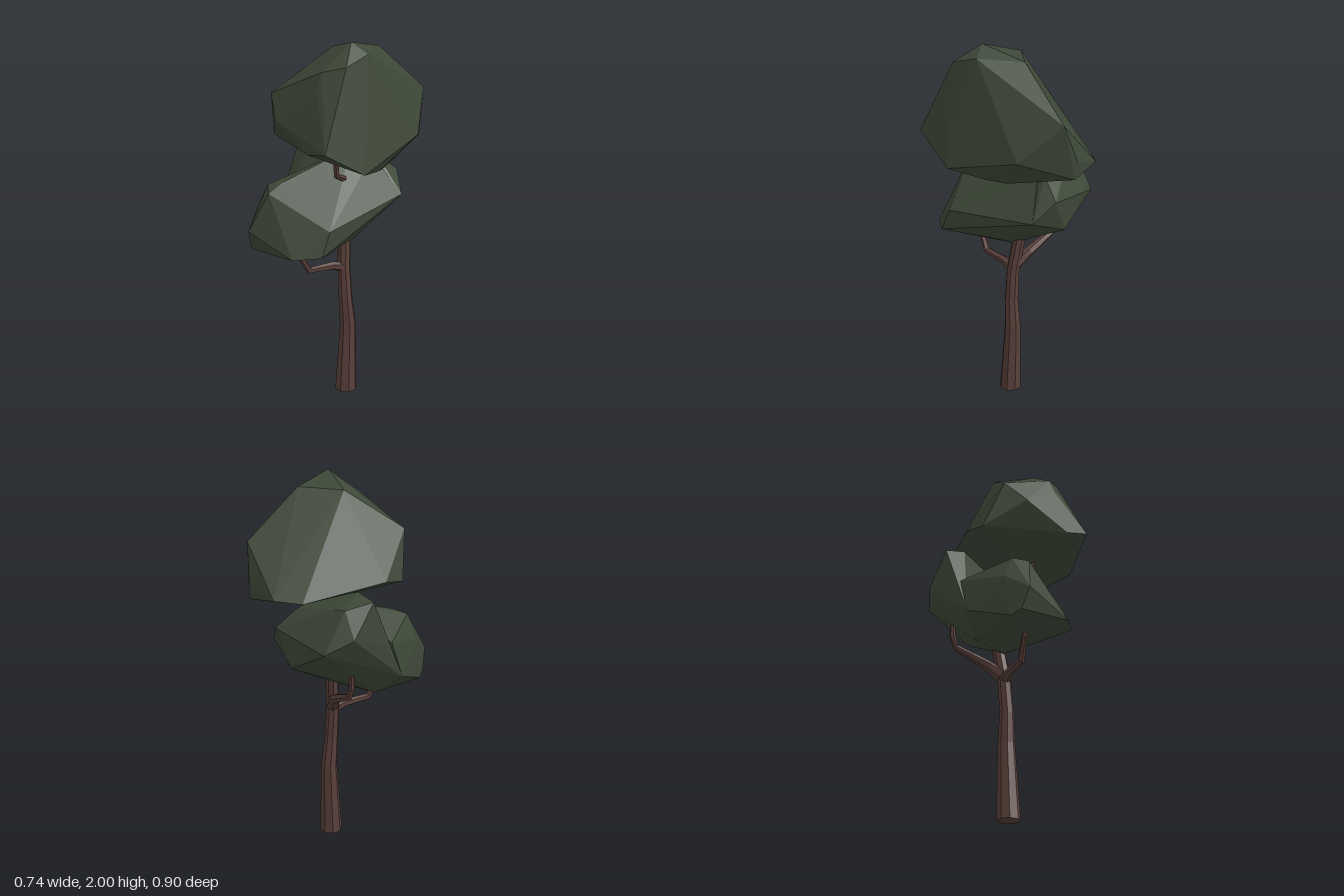
import * as THREE from 'three';
import { ConvexGeometry } from 'three/addons/geometries/ConvexGeometry.js';

const bark = new THREE.MeshStandardMaterial({ color: 0x59403a, flatShading: true });
bark.name = 'bark brown';
const leaf = new THREE.MeshStandardMaterial({ color: 0x3d4837, flatShading: true });
leaf.name = 'leaf green';

// Faceted leaf mass spanning a few corner points
function crown(name, points) {
  const mesh = new THREE.Mesh(new ConvexGeometry(points.map(p => new THREE.Vector3(...p))), leaf);
  mesh.name = name;
  return mesh;
}

// Tapered limb: one ring per [x, y, z, radius], closed at both ends
function limb(name, path, sides, level = false) {
  const up = new THREE.Vector3(0, 1, 0);
  const centres = path.map(p => new THREE.Vector3(p[0], p[1], p[2]));
  const pos = [], index = [];
  path.forEach((p, i) => {
    const dir = centres[Math.min(i + 1, path.length - 1)].clone()
      .sub(centres[Math.max(i - 1, 0)]).normalize();
    const turn = new THREE.Quaternion().setFromUnitVectors(up, level ? up : dir);
    for (let k = 0; k < sides; k++) {
      const a = (k / sides) * Math.PI * 2;
      const v = new THREE.Vector3(Math.cos(a) * p[3], 0, -Math.sin(a) * p[3]);
      pos.push(...v.applyQuaternion(turn).add(centres[i]).toArray());
    }
  });
  for (let i = 0; i < path.length - 1; i++) {
    for (let k = 0; k < sides; k++) {
      const a = i * sides + k, b = i * sides + (k + 1) % sides;
      index.push(a, b, b + sides, a, b + sides, a + sides);
    }
  }
  const last = (path.length - 1) * sides;
  for (let k = 1; k < sides - 1; k++) {
    index.push(0, k + 1, k, last, last + k, last + k + 1);
  }
  const geo = new THREE.BufferGeometry();
  geo.setAttribute('position', new THREE.Float32BufferAttribute(pos, 3));
  geo.setIndex(index);
  const flat = geo.toNonIndexed();
  flat.computeVertexNormals();
  const mesh = new THREE.Mesh(flat, bark);
  mesh.name = name;
  return mesh;
}

export function createModel() {
  const tree = new THREE.Group();
  tree.name = 'tree';

  // Trunk and limbs
  tree.add(
    limb('trunk', [
      [0.037, 0, 0.01, 0.061], [0.04, 0.4, -0.005, 0.045], [0.031, 0.56, 0.005, 0.038],
      [0.018, 0.74, 0, 0.035], [0, 0.97, -0.036, 0.035],
    ], 8, true),
    limb('frontBranch', [
      [0.02, 0.74, 0, 0.03], [-0.02, 0.76, 0.06, 0.023],
      [-0.085, 0.77, 0.19, 0.019], [-0.12, 0.88, 0.24, 0.014], [-0.12, 0.92, 0.245, 0.013],
    ], 6),
    limb('backBranch', [
      [0.01, 0.77, -0.01, 0.038], [-0.04, 0.83, -0.07, 0.027],
      [-0.19, 0.9, -0.155, 0.018], [-0.21, 0.96, -0.165, 0.016], [-0.21, 1.02, -0.165, 0.014],
    ], 6),
    limb('upperBranch', [
      [0.04, 1.26, 0.04, 0.018],
      [0.055, 1.31, 0.14, 0.016], [0.065, 1.4, 0.165, 0.014], [0.065, 1.43, 0.17, 0.013],
    ], 6),
    limb('upperTwig', [
      [0.01, 1.33, -0.07, 0.018], [-0.02, 1.39, -0.06, 0.015], [-0.03, 1.43, -0.05, 0.013],
    ], 5),
  );

  // Top crown
  tree.add(crown('topCrown', [
    [0.125, 2, 0.12], [0.215, 1.95, 0.115], [-0.06, 1.93, -0.015], [0.155, 1.94, -0.11],
    [0.06, 1.88, 0.285], [0.05, 1.785, 0.325], [0.175, 1.91, 0.255],
    [-0.27, 1.72, 0.23], [-0.19, 1.62, 0.32], [-0.325, 1.47, 0.13], [-0.305, 1.49, 0],
    [0.17, 1.53, 0.447], [0.05, 1.5, 0.405], [0.28, 1.39, 0.255],
    [0.367, 1.5, -0.145], [0.29, 1.69, -0.355], [0.25, 1.41, -0.4], [0.24, 1.5, -0.41],
    [0.06, 1.44, -0.45], [-0.07, 1.43, -0.39],
    [0.26, 1.35, 0.06], [0.23, 1.33, -0.04], [0.2, 1.335, 0.1],
  ]));

  // Lower crown: a sloping front lobe and a raised back lobe with a valley between
  tree.add(
    crown('lowerCrownFront', [
      [-0.27, 1.25, 0.28], [-0.19, 1.27, 0.26], [-0.22, 1.23, 0.35], [-0.335, 1.12, 0.28],
      [-0.335, 0.89, 0.32], [-0.32, 0.915, 0.375], [-0.305, 1.03, 0.418], [-0.025, 0.94, 0.445],
      [0.105, 0.955, 0.375], [0.12, 1.08, 0.32], [0.11, 0.95, 0.03], [0, 0.885, 0.01],
      [-0.25, 0.88, 0.3], [-0.24, 0.885, 0.01], [-0.37, 0.98, 0.07], [-0.345, 1.18, 0],
      [0, 1.38, -0.1], [0.1, 1.34, -0.16], [0.26, 1.14, -0.19], [0.08, 1.04, -0.25],
    ]),
    crown('lowerCrownBack', [
      [-0.315, 1.42, -0.13], [-0.2, 1.45, -0.1], [-0.225, 1.39, -0.25], [-0.16, 1.385, -0.245],
      [0, 1.4, -0.1], [0.1, 1.34, -0.2], [0.18, 1.24, -0.285], [0.26, 1.14, -0.19],
      [-0.09, 1.2, -0.355], [-0.18, 1.18, -0.365], [-0.29, 1.25, -0.265],
      [-0.345, 1.18, -0.05], [-0.37, 0.98, 0.07], [0.07, 1.045, -0.3],
      [-0.24, 0.885, 0.01], [0, 0.885, 0.01], [0.11, 0.95, 0.03],
    ]),
  );
  return tree;
}
